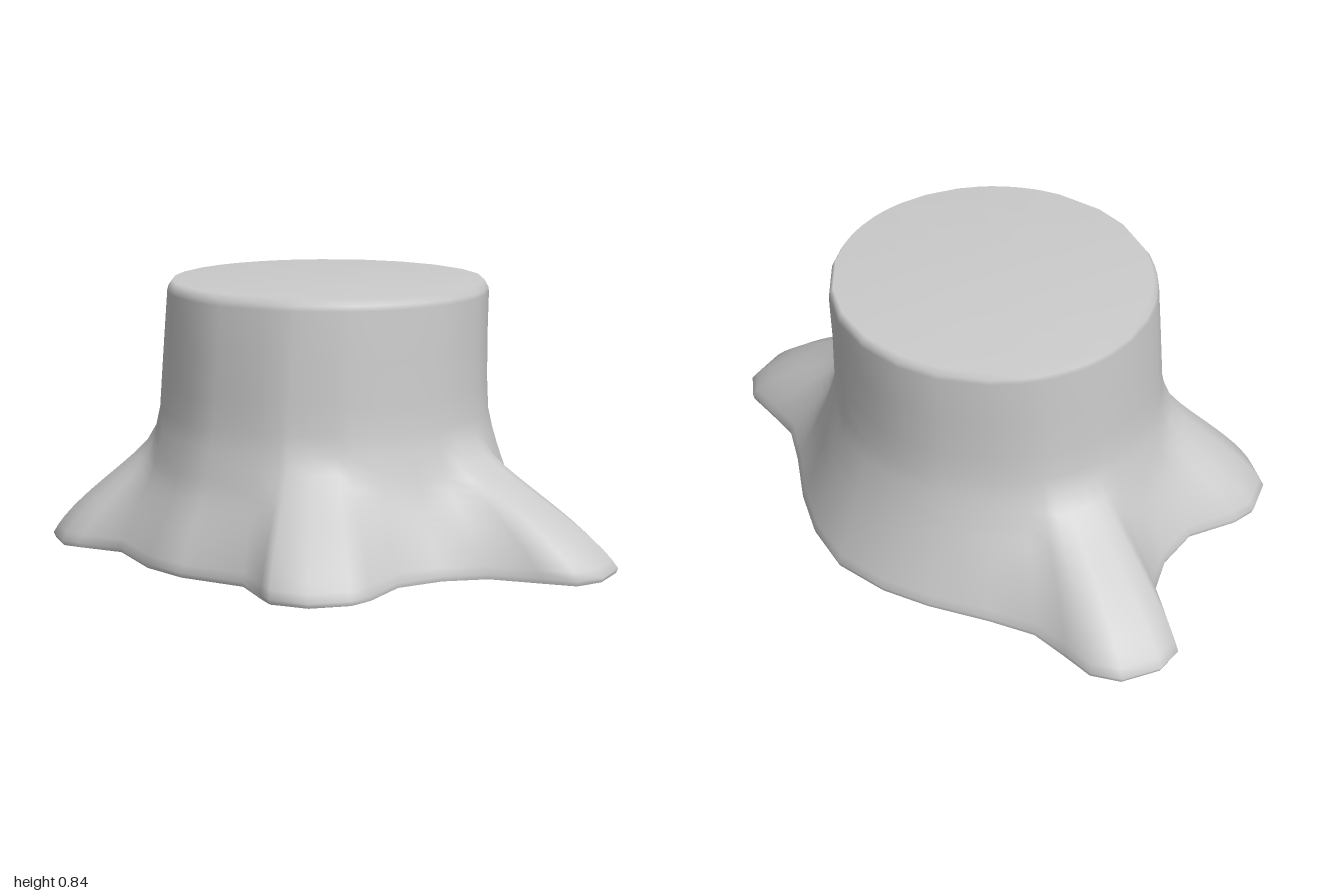
import * as THREE from 'three';

const CZ = -0.04; // trunk axis

// Right half of the ground outline (x, z), from back to front
const HALF = [
  [0, -0.68], [0.18, -0.645], [0.33, -0.58], [0.5, -0.48], [0.64, -0.41], [0.77, -0.4],
  [0.88, -0.395], [0.96, -0.34], [1, -0.22], [0.98, -0.13], [0.88, -0.075], [0.74, 0],
  [0.66, 0.12], [0.62, 0.27], [0.665, 0.43], [0.665, 0.51], [0.6, 0.62], [0.49, 0.67],
  [0.43, 0.65], [0.29, 0.595], [0.08, 0.66],
];
const OUTLINE = [...HALF, ...HALF.slice(1).reverse().map(([x, z]) => [-x, z])];
const LEVELS = [0.015, 0.04, 0.07, 0.1, 0.13, 0.16, 0.19, 0.22, 0.25, 0.28, 0.32, 0.37, 0.43, 0.52, 0.65, 0.8, 0.815, 0.836];

// Plain trunk radius by height, with a small bevel at the cut
function trunkRadius(y) {
  if (y > 0.83) return 0.492;
  if (y > 0.81) return 0.505;
  return 0.508 + 0.04 * Math.pow(1 - y / 0.82, 1.5);
}

// Trunk plus a broad flare plus the domed roots
function radiusAt(base, y) {
  const excess = Math.max(0, base - trunkRadius(0));
  const flare = Math.min(excess, 0.12);
  const root = excess - flare;
  const height = 0.36 * (0.65 + 0.35 * Math.min(1, root / 0.22));
  const t = Math.min(1, y / height);
  return trunkRadius(y)
    + flare * Math.pow(Math.max(0, 1 - y / 0.44), 1.3)
    + root * Math.pow(1 - Math.pow(t, 1.8), 1.6);
}

function makeGeometry(positions, index) {
  const g = new THREE.BufferGeometry();
  g.setAttribute('position', new THREE.Float32BufferAttribute(positions, 3));
  g.setIndex(index);
  g.computeVertexNormals();
  return g;
}

export function createModel() {
  const group = new THREE.Group();
  group.name = 'treeStump';
  const material = new THREE.MeshStandardMaterial({ color: 0xcccccc, roughness: 0.9 });
  const n = OUTLINE.length;
  const polar = OUTLINE.map(([x, z]) => ({ a: Math.atan2(z - CZ, x), r: Math.hypot(x, z - CZ) }));

  // Trunk, roots and cut top as one smooth skin of stacked rings
  const pos = [], index = [];
  const addRing = (y, scale = 1) => {
    const shift = 0.02 * Math.sin(Math.PI * y / 0.84);
    for (const { a, r } of polar) {
      const d = radiusAt(r, y) * scale;
      pos.push(Math.cos(a) * d, y, CZ + shift + Math.sin(a) * d);
    }
  };
  addRing(0, 0.985);
  LEVELS.forEach((y) => addRing(y));
  for (let j = 0; j < LEVELS.length; j++) {
    for (let i = 0; i < n; i++) {
      const k = (i + 1) % n;
      const a = j * n + i, b = j * n + k;
      index.push(a, a + n, b + n, a, b + n, b);
    }
  }
  const last = LEVELS.length * n;
  const centre = pos.length / 3;
  pos.push(0, 0.842, CZ);
  for (let i = 0; i < n; i++) index.push(centre, last + (i + 1) % n, last + i);
  const trunk = new THREE.Mesh(makeGeometry(pos, index), material);
  trunk.name = 'trunkAndRoots';
  group.add(trunk);

  // Flat underside
  const under = pos.slice(0, n * 3), underIndex = [];
  under.push(0, 0, CZ);
  for (let i = 0; i < n; i++) underIndex.push(n, i, (i + 1) % n);
  const underside = new THREE.Mesh(makeGeometry(under, underIndex), material);
  underside.name = 'underside';
  group.add(underside);

  return group;
}
